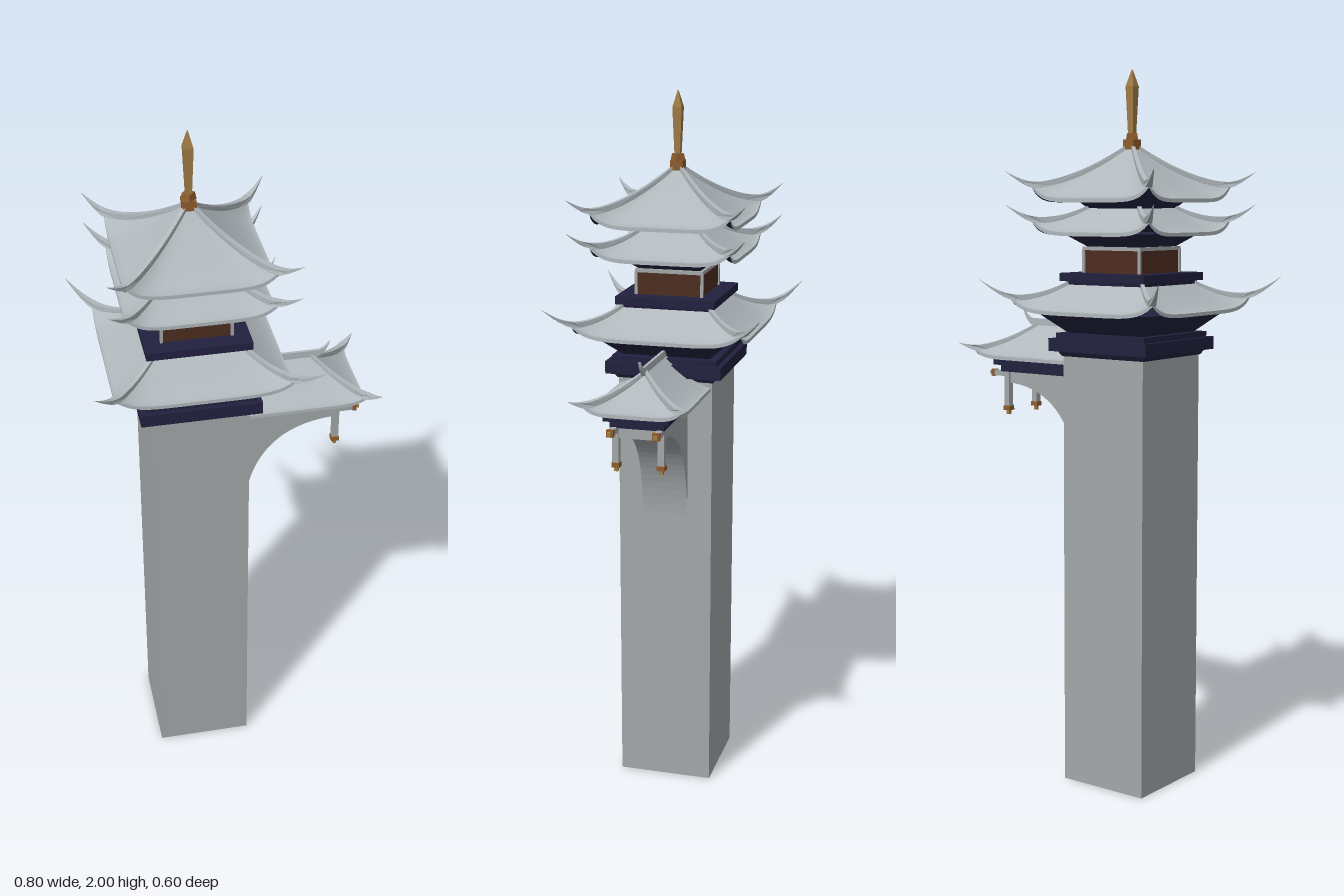
import * as THREE from 'three';
import { ParametricGeometry } from 'three/addons/geometries/ParametricGeometry.js';

const mat = (name, color, extra = {}) => Object.assign(new THREE.MeshStandardMaterial({ color, ...extra }), { name });

export function createModel() {
  const stone = mat('stone', 0xa3a8a9, { side: THREE.DoubleSide });
  const tile = mat('roofTile', 0xb0b8bc);
  const navy = mat('navyTimber', 0x22213f);
  const brown = mat('brownPanel', 0x4e2d20);
  const gold = mat('gold', 0xa07c46);
  const copper = mat('copper', 0x8f5c2c);

  const model = new THREE.Group();
  model.name = 'watchtower';
  const group = (name, parent) => {
    const g = new THREE.Group();
    g.name = name;
    parent.add(g);
    return g;
  };
  const add = (parent, name, geometry, material, x = 0, y = 0, z = 0) => {
    const m = new THREE.Mesh(geometry, material);
    m.name = name;
    m.position.set(x, y, z);
    parent.add(m);
    return m;
  };
  const box = (parent, name, material, x0, x1, y0, y1, z0, z1) =>
    add(parent, name, new THREE.BoxGeometry(x1 - x0, y1 - y0, z1 - z0), material,
      (x0 + x1) / 2, (y0 + y1) / 2, (z0 + z1) / 2);
  // Square block whose half width changes from bottom to top
  const taper = (parent, name, material, y0, y1, bottom, top, open = false) => {
    const s = Math.SQRT2;
    const g = new THREE.CylinderGeometry(top * s, bottom * s, y1 - y0, 4, 1, open).rotateY(Math.PI / 4).toNonIndexed();
    g.computeVertexNormals();
    return add(parent, name, g, material, 0, (y0 + y1) / 2, 0);
  };

  // Height of a roof slope: s runs along the eave (-1..1), v from eave to top
  const roofY = (r, s, v) => r.yEave + (r.yTop - r.yEave) * Math.pow(v, 1.35) +
    (s < 0 ? r.lift0 ?? r.lift : r.lift1 ?? r.lift) * Math.abs(s) ** 6 * Math.pow(1 - v, 1.5);

  // Curved slope with tiled top, thin eave rim and navy underside; corners are [x, z]
  const slope = (parent, r, e0, e1, t0, t1) => {
    const mix = THREE.MathUtils.lerp;
    const point = (u, v, drop, target) => target.set(
      mix(mix(e0[0], e1[0], u), mix(t0[0], t1[0], u), v),
      roofY(r, 2 * u - 1, v) - drop,
      mix(mix(e0[1], e1[1], u), mix(t0[1], t1[1], u), v));
    const thick = 0.01;
    add(parent, 'roofTiles', new ParametricGeometry((u, v, t) => point(u, v, 0, t), 28, 10), tile);
    add(parent, 'eaveRim', new ParametricGeometry((u, v, t) => point(u, 0, thick * (1 - v), t), 28, 1), tile);
    add(parent, 'roofUnderside', new ParametricGeometry((u, v, t) => point(1 - u, v, thick, t), 28, 10), navy);
  };

  // Ridge blade running down a hip and sweeping up into a pointed horn
  const horn = (parent, r, s, start, corner, tip, yTip) => {
    const dx = corner[0] - start[0], dz = corner[1] - start[1];
    const len = Math.hypot(dx, dz);
    const end = Math.hypot(tip[0] - start[0], tip[1] - start[1]);
    const yCorner = roofY(r, s, 0);
    const top = [], bottom = [];
    for (let i = 0; i <= 10; i++) {
      const y = roofY(r, s, 1 - i / 10);
      top.push(new THREE.Vector2(len * i / 10, y + 0.008));
      bottom.push(new THREE.Vector2(len * i / 10, y - 0.008));
    }
    for (let i = 1; i <= 5; i++) {
      const k = i / 5, x = len + (end - len) * k;
      const y = yCorner + (yTip - yCorner) * Math.pow(k, 1.4);
      top.push(new THREE.Vector2(x, y + 0.008 * (1 - k) + 0.0005));
      bottom.push(new THREE.Vector2(x, y - 0.008 * (1 - k)));
    }
    const g = new THREE.ExtrudeGeometry(new THREE.Shape([...top, ...bottom.reverse()]),
      { depth: 2, bevelEnabled: false });
    const p = g.attributes.position;
    for (let i = 0; i < p.count; i++) {
      const x = p.getX(i);
      const w = x < len ? 0.005 + 0.004 * (x / len) ** 2 : 0.001 + 0.008 * (end - x) / (end - len);
      p.setZ(i, (p.getZ(i) - 1) * w);
    }
    g.computeVertexNormals();
    add(parent, 'hipHorn', g, tile, start[0], 0, start[1]).rotation.y = -Math.atan2(dz, dx);
  };

  // Square roof: four equal slopes and four horns
  const squareRoof = (parent, name, r) => {
    const roof = group(name, parent);
    for (let i = 0; i < 4; i++) {
      const side = group('roofSide', roof);
      side.rotation.y = i * Math.PI / 2;
      const { eave: e, top: t, tip } = r;
      slope(side, r, [-e, e], [e, e], [-t, t], [t, t]);
      horn(side, r, 1, [t, t], [e, e], [tip, tip], r.yTip);
    }
  };

  // Tower shaft, open underneath
  const tower = group('tower', model);
  tower.position.x = -0.1;
  taper(tower, 'shaft', stone, 0, 1.225, 0.135, 0.135, true);

  // Stepped cornice and lower roof
  taper(tower, 'corniceFoot', navy, 1.22, 1.24, 0.138, 0.15);
  taper(tower, 'corniceLedge', navy, 1.235, 1.27, 0.165, 0.165);
  taper(tower, 'corniceStep', navy, 1.27, 1.285, 0.15, 0.15);
  taper(tower, 'lowerBracket', navy, 1.28, 1.345, 0.12, 0.19);
  squareRoof(tower, 'lowerRoof', { eave: 0.237, top: 0.125, tip: 0.3, yEave: 1.35, yTop: 1.42, lift: 0.035, yTip: 1.435 });

  // Balcony and upper room
  taper(tower, 'balconyFoot', navy, 1.405, 1.43, 0.125, 0.13);
  taper(tower, 'balcony', navy, 1.428, 1.45, 0.142, 0.142);
  taper(tower, 'upperRoom', brown, 1.45, 1.515, 0.094, 0.094);
  taper(tower, 'roomTopBeam', stone, 1.512, 1.522, 0.097, 0.097);
  for (const x of [-1, 1]) for (const z of [-1, 1])
    box(tower, 'roomPost', stone, x * 0.094 - 0.004, x * 0.094 + 0.004, 1.45, 1.515, z * 0.094 - 0.004, z * 0.094 + 0.004);

  // Middle and top roofs
  taper(tower, 'middleBracket', navy, 1.52, 1.558, 0.085, 0.135);
  squareRoof(tower, 'middleRoof', { eave: 0.195, top: 0.085, tip: 0.246, yEave: 1.562, yTop: 1.627, lift: 0.035, yTip: 1.635 });
  taper(tower, 'topBracket', navy, 1.615, 1.65, 0.075, 0.11);
  squareRoof(tower, 'topRoof', { eave: 0.195, top: 0.006, tip: 0.246, yEave: 1.652, yTop: 1.795, lift: 0.038, yTip: 1.725 });

  // Spire
  const spire = group('spire', tower);
  taper(spire, 'spireBase', copper, 1.785, 1.812, 0.018, 0.018);
  taper(spire, 'spireCollar', copper, 1.81, 1.83, 0.015, 0.012).rotation.y = Math.PI / 4;
  taper(spire, 'spireRod', gold, 1.825, 1.955, 0.008, 0.013);
  taper(spire, 'spirePoint', gold, 1.955, 2, 0.013, 0.001);

  // Side wing: hipped roof
  const wing = group('wing', model);
  const long = { yEave: 1.205, yTop: 1.29, lift: 0 };
  const [x0, xr, xe, ze] = [0.033, 0.235, 0.365, 0.13];
  slope(wing, { ...long, lift0: 0, lift1: 0.02 }, [x0, ze], [xe, ze], [x0, 0.002], [xr, 0.002]);
  slope(wing, { ...long, lift0: 0.02, lift1: 0 }, [xe, -ze], [x0, -ze], [xr, -0.002], [x0, -0.002]);
  slope(wing, { ...long, lift: 0.02 }, [xe, ze], [xe, -ze], [xr, 0.002], [xr, -0.002]);
  for (const z of [-1, 1])
    horn(wing, { ...long, lift: 0.02 }, 1, [xr, 0], [xe, z * ze], [0.398, z * 0.163], 1.24);

  // Ridge blade with upturned end
  const ridge = new THREE.Shape();
  ridge.moveTo(x0, 1.28);
  ridge.lineTo(0.235, 1.28);
  ridge.quadraticCurveTo(0.275, 1.29, 0.287, 1.332);
  ridge.quadraticCurveTo(0.272, 1.308, 0.25, 1.308);
  ridge.lineTo(x0, 1.308);
  add(wing, 'ridgeBlade', new THREE.ExtrudeGeometry(ridge, { depth: 0.008, bevelEnabled: false }), tile, 0, 0, -0.004);

  // Timber deck and curved support
  box(wing, 'upperDeck', navy, 0.033, 0.33, 1.175, 1.2, -0.09, 0.09);
  box(wing, 'lowerDeck', navy, 0.033, 0.315, 1.155, 1.178, -0.075, 0.075);
  const arch = new THREE.Shape();
  arch.moveTo(0.033, 1.158);
  arch.lineTo(0.033, 0.83);
  arch.lineTo(0.036, 0.83);
  arch.bezierCurveTo(0.045, 1.0, 0.12, 1.12, 0.3, 1.123);
  arch.lineTo(0.3, 1.158);
  add(wing, 'archSupport', new THREE.ExtrudeGeometry(arch, { depth: 0.13, bevelEnabled: false, curveSegments: 20 }), stone, 0, 0, -0.065);

  // Hanging posts and projecting beams with metal ends
  for (const z of [-0.063, 0.063]) {
    box(wing, 'hangingPost', stone, 0.287, 0.305, 1.05, 1.16, z - 0.009, z + 0.009);
    box(wing, 'postCap', copper, 0.285, 0.307, 1.042, 1.055, z - 0.011, z + 0.011);
    box(wing, 'postTip', gold, 0.291, 0.301, 1.03, 1.042, z - 0.005, z + 0.005);
    box(wing, 'beamEnd', stone, 0.295, 0.345, 1.141, 1.157, z - 0.008, z + 0.008);
    box(wing, 'beamCap', copper, 0.343, 0.354, 1.139, 1.159, z - 0.01, z + 0.01);
    box(wing, 'beamTip', gold, 0.354, 0.362, 1.144, 1.154, z - 0.005, z + 0.005);
  }
  return model;
}
